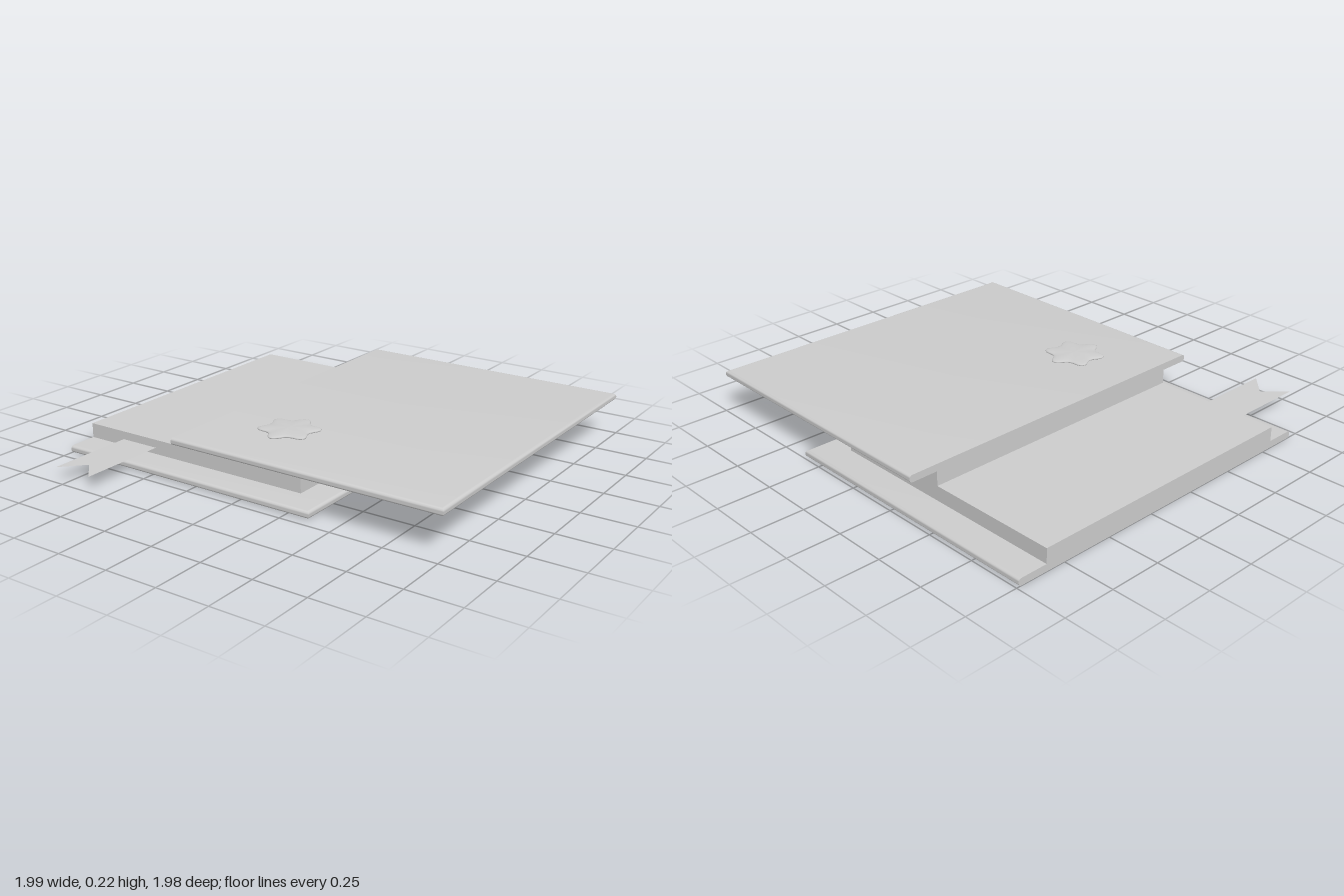
import * as THREE from 'three';
import { toCreasedNormals } from 'three/addons/utils/BufferGeometryUtils.js';

const material = new THREE.MeshStandardMaterial({ color: 0xcccccc });
const thinMaterial = new THREE.MeshStandardMaterial({ color: 0xcccccc, side: THREE.DoubleSide });

function addMesh(parent, name, geometry, x, y, z, mat = material) {
  const mesh = new THREE.Mesh(geometry, mat);
  mesh.name = name;
  mesh.position.set(x, y, z);
  parent.add(mesh);
  return mesh;
}

// Board with half-round front, back and right edges, cut flat at x = 0
function coverGeometry(width, thickness, depth) {
  const r = thickness * 0.48, h = depth / 2 - r;
  const shape = new THREE.Shape();
  shape.moveTo(0, -h).lineTo(width - r, -h).lineTo(width - r, h).lineTo(0, h).closePath();
  const core = thickness - 2 * r;
  const geo = new THREE.ExtrudeGeometry(shape, {
    depth: core, bevelThickness: r, bevelSize: r, bevelSegments: 5,
  });
  geo.translate(0, 0, -core / 2).rotateX(Math.PI / 2);
  const p = geo.attributes.position;
  for (let i = 0; i < p.count; i++) p.setX(i, Math.max(0, p.getX(i)));
  return toCreasedNormals(geo, 0.7);
}

// Softly domed six-pointed star, lofted from rings of [scale, height]
function starGeometry() {
  const rings = [[0.93, 0], [0.985, 0.003], [1, 0.006], [0.985, 0.009], [0.93, 0.0115],
    [0.8, 0.0135], [0.55, 0.0155], [0.25, 0.0165], [0, 0.017]];
  const n = 96, positions = [], index = [];
  rings.forEach(([scale, y], j) => {
    for (let i = 0; i < n; i++) {
      const a = (i / n) * Math.PI * 2;
      const r = scale * (0.107 + 0.037 * Math.pow((1 + Math.cos(6 * a)) / 2, 1.3));
      positions.push(r * Math.sin(a), y, r * Math.cos(a));
      if (j === rings.length - 1) continue;
      const k = (i + 1) % n, b = j * n, t = b + n;
      index.push(b + i, b + k, t + k, b + i, t + k, t + i);
    }
  });
  const geo = new THREE.BufferGeometry();
  geo.setAttribute('position', new THREE.Float32BufferAttribute(positions, 3));
  geo.setIndex(index);
  geo.computeVertexNormals();
  return geo;
}

// Flat ribbon with a swallowtail end, starting at z = 0
function ribbonGeometry(width, length, notch) {
  const w = width / 2;
  const shape = new THREE.Shape();
  shape.moveTo(-w, 0).lineTo(w, 0).lineTo(w, length).lineTo(0, length - notch).lineTo(-w, length);
  return new THREE.ShapeGeometry(shape).rotateX(Math.PI / 2);
}

export function createModel() {
  const model = new THREE.Group();
  model.name = 'slidBook';

  // Two halves, the upper one shifted sideways
  const halves = [
    { name: 'lower', x: -1, coverY: 0.017, pageY: 0.069, z: -0.145 },
    { name: 'upper', x: -0.37, coverY: 0.189, pageY: 0.139, z: -0.14 },
  ];
  for (const { name, x, coverY, pageY, z } of halves) {
    const half = new THREE.Group();
    half.name = name + 'Half';
    model.add(half);
    addMesh(half, name + 'Cover', coverGeometry(1.363, 0.034, 1.69), x, coverY, z);
    addMesh(half, name + 'Pages', new THREE.BoxGeometry(1.22, 0.07, 1.4), x + 0.61, pageY, -0.145);
  }

  // Star on the upper cover
  addMesh(model, 'starOrnament', starGeometry(), -0.005, 0.204, 0.325);

  // Bookmark coming out of the lower pages
  addMesh(model, 'ribbonBookmark', ribbonGeometry(0.2, 0.435, 0.105), -0.7, 0.065, 0.55, thinMaterial);

  return model;
}
